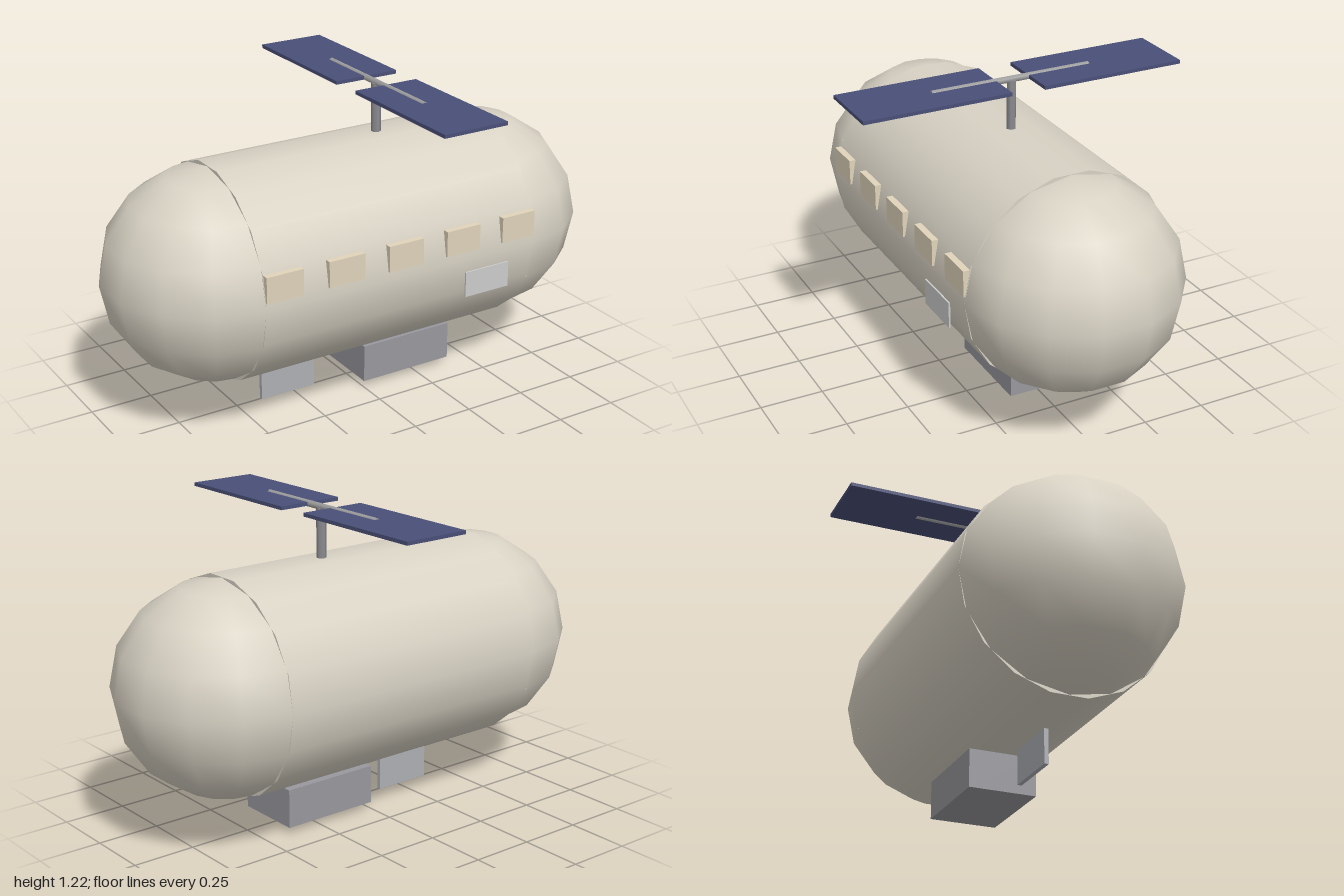
import * as THREE from 'three';

const paint = (color) => new THREE.MeshStandardMaterial({ color });

export function createModel() {
  const model = new THREE.Group();
  const hullPaint = paint(0xd8d2c4);
  const windowPaint = paint(0xe0d3ba);
  const doorPaint = paint(0xcccdc9);
  const unitPaint = paint(0x98989e);
  const finPaint = paint(0xadafb4);
  const mastPaint = paint(0x8c8c92);
  const rodPaint = paint(0xa0a0a0);
  const panelPaint = paint(0x4a5078);

  function add(name, geometry, material, x = 0, y = 0, z = 0) {
    const mesh = new THREE.Mesh(geometry, material);
    mesh.name = name;
    mesh.position.set(x, y, z);
    model.add(mesh);
    return mesh;
  }

  // Box given by its low and high corners
  function addBox(name, material, [x0, y0, z0], [x1, y1, z1]) {
    return add(name, new THREE.BoxGeometry(x1 - x0, y1 - y0, z1 - z0), material,
      (x0 + x1) / 2, (y0 + y1) / 2, (z0 + z1) / 2);
  }

  // Pressure hull: a lying cylinder with rounded ends
  const radius = 0.421, axisY = 0.599, halfLength = 0.59;
  const hull = add('hull', new THREE.CylinderGeometry(radius, radius, 2 * halfLength, 18),
    hullPaint, 0, axisY, 0);
  hull.rotation.z = Math.PI / 2;

  for (const side of [1, -1]) {
    const dome = new THREE.SphereGeometry(radius, 7, 8, Math.PI / 2, Math.PI);
    const cap = add(side > 0 ? 'leftDome' : 'rightDome', dome, hullPaint, side * halfLength, axisY, 0);
    cap.scale.y = 0.98;
    if (side < 0) cap.rotation.y = Math.PI;
  }

  // Row of windows and the hatch on the front side
  for (let i = -2; i <= 2; i++) {
    const x = i * 0.2565;
    addBox('window', windowPaint, [x - 0.075, 0.63, 0.392], [x + 0.075, 0.732, 0.4235]);
  }
  addBox('hatch', doorPaint, [0.27, 0.445, 0.419], [0.47, 0.547, 0.4255]);

  // Equipment hung below the hull
  addBox('equipmentBox', unitPaint, [0, 0.027, -0.136], [0.4, 0.18, 0.136]);
  addBox('fin', finPaint, [-0.393, 0, -0.0085], [-0.155, 0.135, 0.0085]);

  // Mast, cross rod and the two solar panels
  const mastX = 0.134, panelY = 1.2087;
  add('mast', new THREE.CylinderGeometry(0.019, 0.019, 0.2, 6), mastPaint, mastX, 1.106, 0);
  const rod = add('crossRod', new THREE.CylinderGeometry(0.0135, 0.0135, 0.646, 6),
    rodPaint, mastX, panelY, 0);
  rod.rotation.x = Math.PI / 2;
  for (const side of [1, -1]) {
    add(side > 0 ? 'frontSolarPanel' : 'backSolarPanel', new THREE.BoxGeometry(0.27, 0.014, 0.577),
      panelPaint, mastX, panelY, side * 0.3555);
  }

  return model;
}
